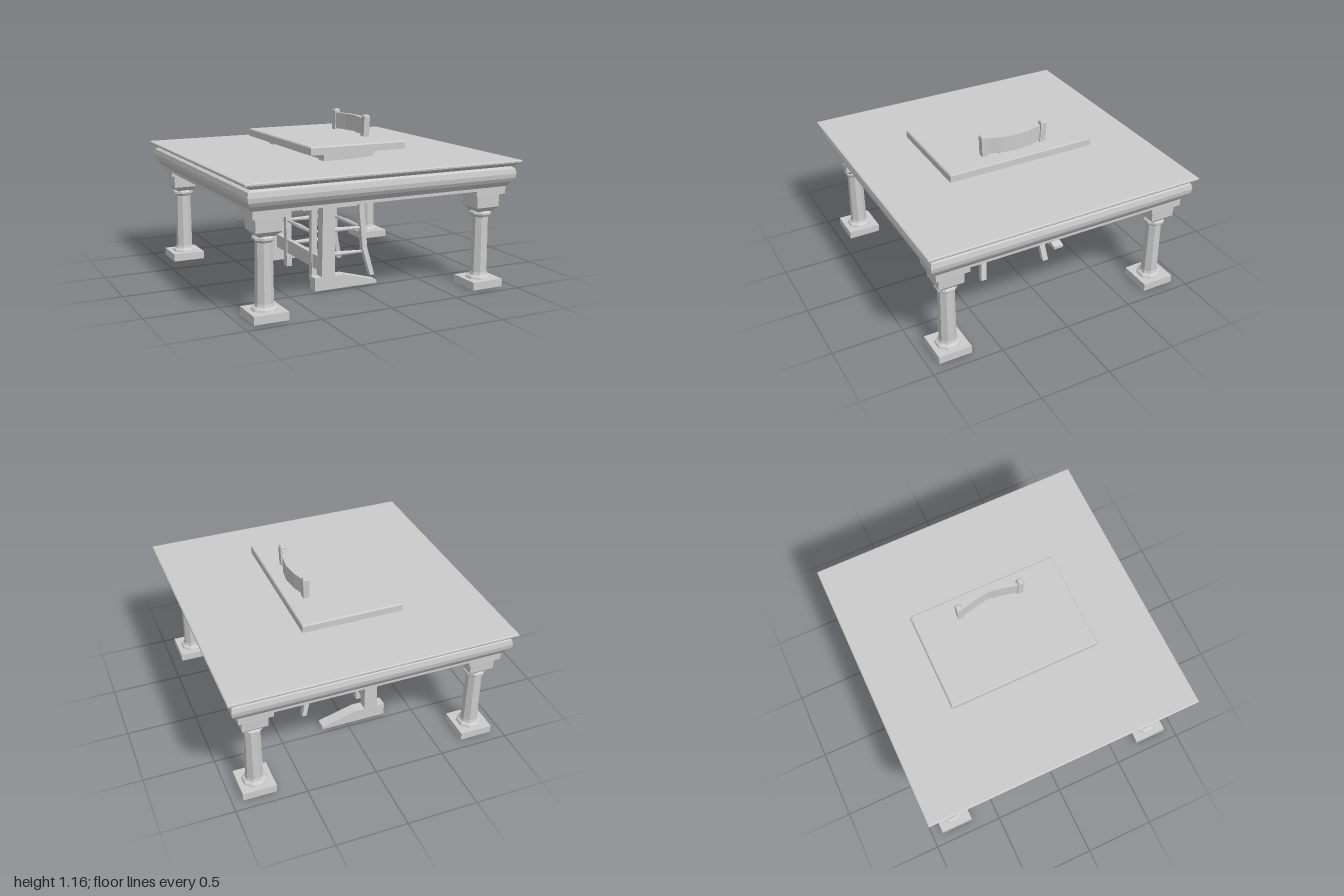
import * as THREE from 'three';

const mat = new THREE.MeshStandardMaterial({ color: 0xcccccc, flatShading: true, side: THREE.DoubleSide });

function add(parent, name, geo, x = 0, y = 0, z = 0) {
  const m = new THREE.Mesh(geo, mat);
  m.name = name;
  m.position.set(x, y, z);
  parent.add(m);
  return m;
}

// Box given by its minimum and maximum corners
function block(parent, name, x0, x1, y0, y1, z0, z1) {
  return add(parent, name, new THREE.BoxGeometry(x1 - x0, y1 - y0, z1 - z0),
    (x0 + x1) / 2, (y0 + y1) / 2, (z0 + z1) / 2);
}

// Square moulding: profile points are [half width, height]
function squareLathe(profile) {
  const pts = profile.map(([h, y]) => new THREE.Vector2(h * Math.SQRT2, y));
  return new THREE.LatheGeometry(pts, 4, Math.PI / 4).toNonIndexed();
}

// Eight-sided turning
function octLathe(profile) {
  const pts = profile.map(([r, y]) => new THREE.Vector2(r, y));
  return new THREE.LatheGeometry(pts, 8, Math.PI / 8).toNonIndexed();
}

// Bent post: sections are [x, y, z, width, depth] from bottom to top
function post(sections) {
  const n = sections.length - 1;
  const g = new THREE.BoxGeometry(1, 1, 1, 1, n, 1);
  const p = g.attributes.position;
  for (let i = 0; i < p.count; i++) {
    const [x, y, z, w, d] = sections[Math.round((p.getY(i) + 0.5) * n)];
    p.setXYZ(i, x + p.getX(i) * w, y, z + p.getZ(i) * d);
  }
  return g;
}

// Turned rung, thicker in the middle
function rung(parent, name, a, b, r) {
  const A = new THREE.Vector3(...a), B = new THREE.Vector3(...b);
  const dir = B.clone().sub(A), L = dir.length();
  const pts = [[0, 0], [r * 0.6, 0], [r, L / 2], [r * 0.6, L], [0, L]].map(([q, y]) => new THREE.Vector2(q, y));
  const m = add(parent, name, new THREE.LatheGeometry(pts, 8), ...a);
  m.quaternion.setFromUnitVectors(new THREE.Vector3(0, 1, 0), dir.normalize());
}

// Outline in x,y extruded along z
function slab(points, z0, z1) {
  const s = new THREE.Shape(points.map(([x, y]) => new THREE.Vector2(x, y)));
  return new THREE.ExtrudeGeometry(s, { depth: z1 - z0, bevelEnabled: false }).translate(0, 0, z0);
}

function largeTable() {
  const g = new THREE.Group();
  g.name = 'largeTable';
  // Moulded top with a shallow recess underneath
  add(g, 'tableTop', squareLathe([
    [0, 0.73], [0.89, 0.73], [0.89, 0.69], [0.925, 0.69], [0.925, 0.71], [0.955, 0.745],
    [0.97, 0.77], [0.975, 0.8], [0.968, 0.835], [0.945, 0.848], [0.995, 0.873],
    [1, 0.88], [1, 0.89], [0.993, 0.895], [0, 0.895],
  ]));
  for (const sx of [-1, 1]) for (const sz of [-1, 1]) {
    const leg = new THREE.Group();
    leg.name = 'tableLeg';
    leg.position.set(sx * 0.807, 0, sz * 0.807);
    // Plinth, hollow below
    add(leg, 'plinth', squareLathe([[0, 0.04], [0.113, 0.04], [0.113, 0], [0.118, 0], [0.118, 0.055], [0, 0.055]]));
    add(leg, 'column', octLathe([
      [0.09, 0.055], [0.085, 0.068], [0.066, 0.08], [0.06, 0.1], [0.056, 0.49], [0.064, 0.502],
      [0.076, 0.508], [0.076, 0.522], [0.062, 0.535],
    ]));
    add(leg, 'capital', squareLathe([
      [0, 0.525], [0.055, 0.53], [0.088, 0.565], [0.09, 0.655], [0.117, 0.657], [0.117, 0.7], [0, 0.7],
    ]));
    g.add(leg);
  }
  return g;
}

function desk() {
  const g = new THREE.Group();
  g.name = 'desk';
  add(g, 'deskTop', squareLathe([[0, 0], [1, 0], [1, 0.047], [0.985, 0.055], [0, 0.055]]), -0.002, 0.953, 0)
    .scale.set(0.357, 1, 0.543);
  for (const s of [-1, 1]) {
    const z0 = s * 0.427 - 0.036, z1 = s * 0.427 + 0.036;
    add(g, 'deskLeg', slab([[-0.24, 0.05], [-0.14, 0.05], [-0.14, 0.955], [-0.225, 0.955]], z0, z1));
    add(g, 'deskFoot', slab([[-0.295, 0], [0.185, 0], [0.185, 0.022], [-0.07, 0.093], [-0.295, 0.093]], z0 - 0.003, z1 + 0.003));
    // Bracket under the top
    add(g, 'deskBracket', slab([[-0.15, 0.68], [-0.115, 0.68], [0, 0.895], [0.15, 0.905], [0.19, 0.955], [-0.15, 0.955]], z0 + 0.01, z1 - 0.01));
  }
  block(g, 'lowerStretcher', -0.205, -0.17, 0.105, 0.205, -0.4, 0.4);
  block(g, 'upperStretcher', -0.205, -0.17, 0.8, 0.918, -0.4, 0.4);
  return g;
}

function chair() {
  const g = new THREE.Group();
  g.name = 'chair';
  for (const s of [-1, 1]) {
    add(g, 'backPost', post([
      [0.255, 0, s * 0.26, 0.034, 0.044], [0.207, 0.2, s * 0.236, 0.038, 0.042], [0.188, 0.5, s * 0.218, 0.042, 0.044],
      [0.193, 0.7, s * 0.216, 0.044, 0.044], [0.215, 0.95, s * 0.222, 0.044, 0.042],
      [0.218, 1.15, s * 0.23, 0.044, 0.044], [0.218, 1.16, s * 0.23, 0.03, 0.032],
    ]));
    add(g, 'frontLeg', post([
      [-0.19, 0, s * 0.218, 0.04, 0.05], [-0.19, 0.3, s * 0.218, 0.044, 0.044], [-0.19, 0.53, s * 0.222, 0.046, 0.044],
    ]));
    for (const y of [0.17, 0.347]) rung(g, 'sideRung', [-0.19, y + 0.005, s * 0.215], [0.2, y, s * 0.222], 0.018);
    rung(g, 'crossRung', [s > 0 ? 0.195 : -0.19, 0.347, -0.215], [s > 0 ? 0.195 : -0.19, 0.347, 0.215], 0.018);
  }
  // Seat: narrower at the back, dipping in the middle
  const seat = new THREE.BoxGeometry(0.47, 0.03, 0.5, 2, 1, 4);
  const p = seat.attributes.position;
  for (let i = 0; i < p.count; i++) {
    const t = (p.getX(i) + 0.235) / 0.47, u = Math.abs(p.getZ(i)) / 0.25;
    p.setY(i, p.getY(i) - 0.022 * (1 - u) - 0.012 * t);
    p.setZ(i, p.getZ(i) * (1 - 0.16 * t));
  }
  add(g, 'seat', seat, -0.045, 0.534, 0);
  // Curved head rail
  const rail = slab([
    [0.2, -0.215], [0.225, -0.215], [0.258, -0.11], [0.273, 0], [0.258, 0.11], [0.225, 0.215],
    [0.2, 0.215], [0.228, 0.09], [0.243, 0], [0.228, -0.09],
  ], 0, 0.117).rotateX(-Math.PI / 2);
  add(g, 'headRail', rail, 0, 1.018, 0);
  // Lower back rail and spindles
  block(g, 'backRail', 0.19, 0.215, 0.78, 0.82, -0.21, 0.21);
  for (const z of [-0.11, -0.042, 0.042, 0.11]) rung(g, 'spindle', [0.203, 0.8, z * 0.95], [0.245, 1.03, z * 1.08], 0.01);
  return g;
}

export function createModel() {
  const model = new THREE.Group();
  model.name = 'tableWithDeskAndChair';
  model.add(largeTable(), desk(), chair());
  return model;
}
